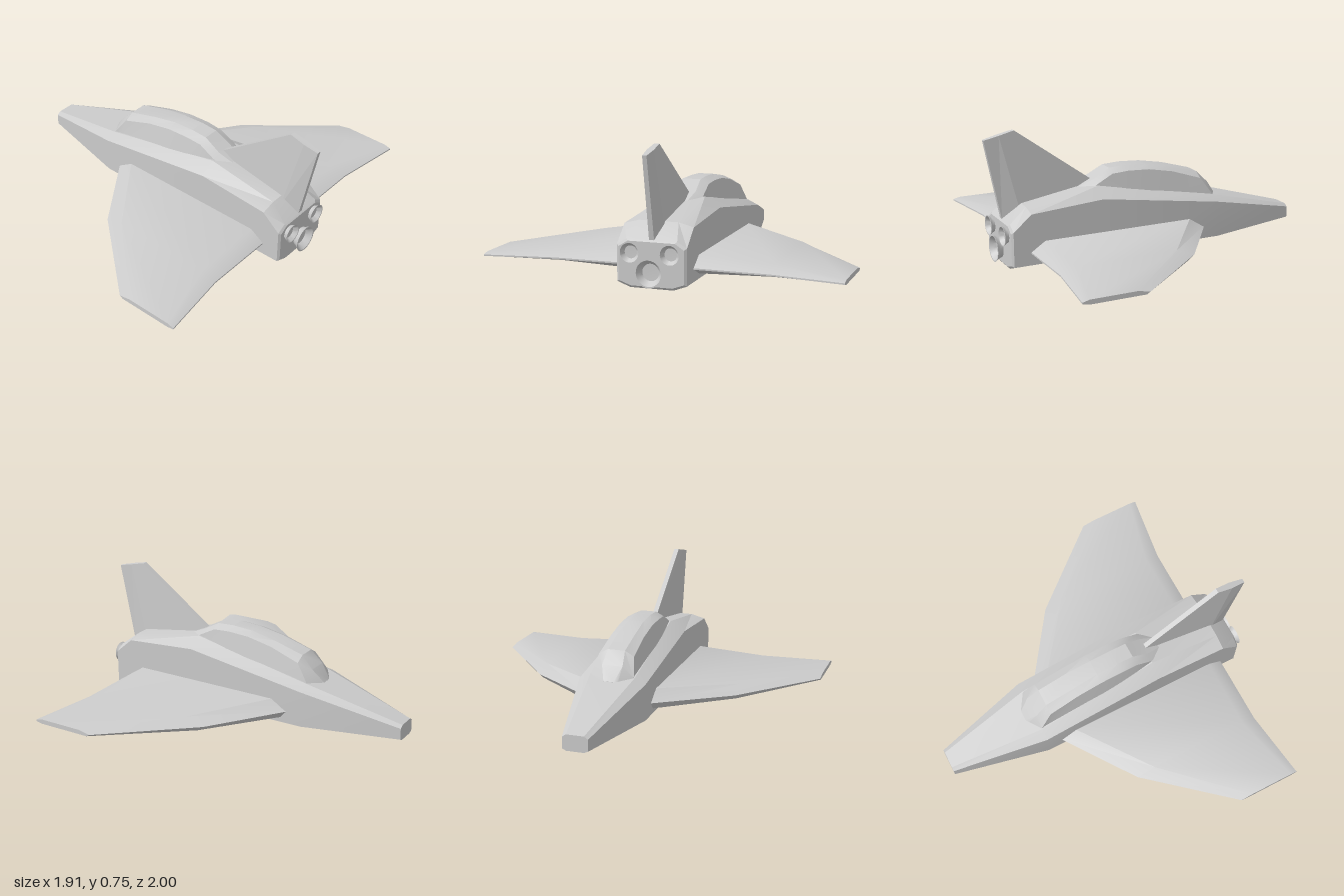
import * as THREE from 'three';
import { toCreasedNormals } from 'three/addons/utils/BufferGeometryUtils.js';

const material = new THREE.MeshStandardMaterial({ color: 0xcccccc });
const doubleSided = new THREE.MeshStandardMaterial({ color: 0xcccccc, side: THREE.DoubleSide });

// Skin a list of closed rings ([x, y, z] points) and cap both ends.
function loft(name, rings, crease = 0.4) {
  const n = rings[0].length, tris = [];
  for (let i = 0; i < rings.length - 1; i++) {
    for (let j = 0; j < n; j++) {
      const k = (j + 1) % n, a = rings[i], b = rings[i + 1];
      tris.push([a[j], a[k], b[k]], [a[j], b[k], b[j]]);
    }
  }
  const cap = (ring, flip) => {
    const c = [0, 1, 2].map(q => ring.reduce((s, p) => s + p[q], 0) / n);
    ring.forEach((p, j) => {
      const r = ring[(j + 1) % n];
      tris.push(flip ? [c, r, p] : [c, p, r]);
    });
  };
  cap(rings[0], true);
  cap(rings[rings.length - 1], false);
  // Turn the skin outward whichever way the rings run.
  const v = p => new THREE.Vector3(...p);
  const volume = tris.reduce((s, [a, b, c]) => s + v(a).dot(v(b).cross(v(c))), 0);
  if (volume < 0) tris.forEach(t => t.reverse());
  const geo = new THREE.BufferGeometry();
  geo.setAttribute('position', new THREE.Float32BufferAttribute(tris.flat(2), 3));
  const mesh = new THREE.Mesh(toCreasedNormals(geo, crease), material);
  mesh.name = name;
  return mesh;
}

// Full ring at x from half-section points [z, y].
const mirrored = (x, half) => [
  ...half.map(([z, y]) => [x, y, z]),
  ...half.slice().reverse().map(([z, y]) => [x, y, -z]),
];

function fuselage() {
  // x, side, bottom and top half widths; bottom, chine, shoulder and top heights
  const sections = [
    [-0.958, 0.072, 0.05, 0.05, 0.025, 0.035, 0.10, 0.115],
    [-0.40, 0.193, 0.12, 0.13, 0, 0.027, 0.235, 0.265],
    [0.33, 0.193, 0.12, 0.105, 0, 0.027, 0.345, 0.40],
    [0.76, 0.193, 0.12, 0.11, 0, 0.027, 0.315, 0.337],
    [0.865, 0.193, 0.12, 0.14, 0, 0.027, 0.225, 0.257],
    [0.875, 0.18, 0.115, 0.13, 0.012, 0.035, 0.215, 0.247],
  ];
  return loft('fuselage', sections.map(([x, w, wb, wt, y0, yc, ys, yt]) =>
    mirrored(x, [[wb, y0], [w, yc], [w, ys], [wt, yt]])), 0.3);
}

function canopy() {
  // x, then [z, y] of the base, side edge and roof edge
  const sections = [
    [-0.46, [0.055, 0.21], [0.05, 0.235], [0.03, 0.25]],
    [-0.40, [0.13, 0.22], [0.125, 0.265], [0.06, 0.325]],
    [-0.33, [0.13, 0.23], [0.103, 0.365], [0.05, 0.395]],
    [-0.15, [0.13, 0.26], [0.097, 0.425], [0.05, 0.447]],
    [0, [0.13, 0.29], [0.096, 0.455], [0.045, 0.476]],
    [0.13, [0.125, 0.31], [0.096, 0.462], [0.045, 0.484]],
    [0.23, [0.117, 0.33], [0.093, 0.455], [0.045, 0.479]],
    [0.33, [0.102, 0.35], [0.095, 0.403], [0.05, 0.425]],
    [0.43, [0.08, 0.34], [0.06, 0.365], [0.03, 0.38]],
  ];
  return loft('canopy', sections.map(([x, ...half]) => mirrored(x, half)));
}

function wing(side) {
  // z, leading edge, upper front, lower front, rear bevel, trailing edge; middle, top, bottom heights
  const sections = [
    [0.17, -0.324, -0.23, -0.285, 0.68, 0.765, 0.097, 0.157, 0.054],
    [0.60, -0.02, 0.09, 0.015, 0.68, 0.765, 0.096, 0.133, 0.068],
    [1.0, 0.45, 0.52, 0.47, 0.78, 0.82, 0.095, 0.109, 0.083],
  ];
  return loft(side > 0 ? 'leftWing' : 'rightWing',
    sections.map(([z, le, uf, lf, rb, te, ym, yt, yb]) => [
      [le, ym, z], [uf, yt, z], [rb, yt, z],
      [te, ym + 0.004, z], [te, ym - 0.004, z], [rb, yb, z], [lf, yb, z],
    ].map(([x, y, q]) => [x, y, q * side])), 0.65);
}

function tailFin() {
  // [x, y, half thickness] at the leading edge, thickest line and trailing edge
  const levels = [
    [[0.28, 0.384, 0.014], [0.76, 0.27, 0.038], [0.863, 0.245, 0.014]],
    [[0.78, 0.745, 0.014], [0.87, 0.725, 0.019], [0.955, 0.705, 0.012]],
  ];
  return loft('tailFin', levels.map(l => [
    ...l.map(([x, y, t]) => [x, y, t]),
    ...l.slice().reverse().map(([x, y, t]) => [x, y, -t]),
  ]), 0.1);
}

// Hollow bell nozzle opening toward the tail
function engine(name, y, z, r, length) {
  const profile = [
    [0.72, -0.01], [0.75, 0.25], [0.88, 0.7], [1, 1], [0.9, 1], [0.75, 0.6], [0.6, 0.15], [0, 0.1],
  ].map(([a, b]) => new THREE.Vector2(a * r, b * length));
  const geo = toCreasedNormals(new THREE.LatheGeometry(profile, 32), 0.6);
  const mesh = new THREE.Mesh(geo, doubleSided);
  mesh.rotation.z = -Math.PI / 2;
  mesh.position.set(0.874, y, z);
  mesh.name = name;
  return mesh;
}

export function createModel() {
  const model = new THREE.Group();
  model.name = 'spaceplane';
  model.add(fuselage(), canopy(), tailFin(), wing(1), wing(-1));
  model.add(engine('lowerEngine', 0.09, 0, 0.077, 0.04));
  for (const s of [1, -1]) {
    model.add(engine(s > 0 ? 'leftEngine' : 'rightEngine', 0.19, s * 0.11, 0.057, 0.028));
  }
  return model;
}
